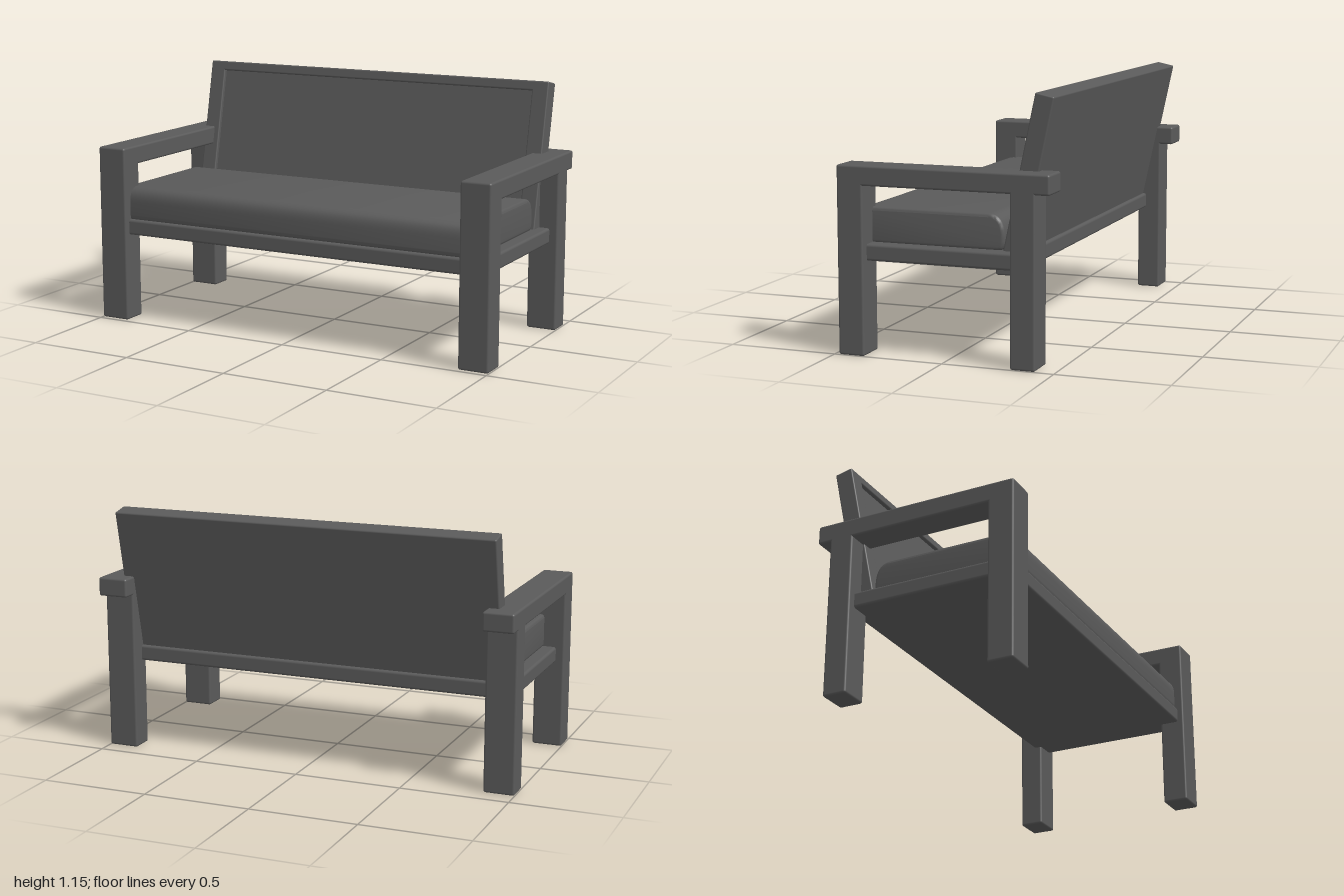
import * as THREE from 'three';
import { toCreasedNormals } from 'three/addons/utils/BufferGeometryUtils.js';
import { RoundedBoxGeometry } from 'three/addons/geometries/RoundedBoxGeometry.js';

export function createModel() {
  const model = new THREE.Group();
  model.name = 'bench';
  const grey = new THREE.MeshStandardMaterial({ color: 0x5a5a5a });
  grey.name = 'charcoal grey';

  // Softly rounded box given by its limits on each axis
  function box(parent, name, [x0, x1], [y0, y1], [z0, z1], radius = 0.01) {
    const geometry = new RoundedBoxGeometry(x1 - x0, y1 - y0, z1 - z0, 3, radius);
    const mesh = new THREE.Mesh(geometry, grey);
    mesh.position.set((x0 + x1) / 2, (y0 + y1) / 2, (z0 + z1) / 2);
    mesh.name = name;
    parent.add(mesh);
    return mesh;
  }

  // Legs and armrests on both sides
  for (const [side, s] of [['left', 1], ['right', -1]]) {
    const x = s > 0 ? [0.857, 1] : [-1, -0.857];
    box(model, side + 'FrontLeg', x, [0, 0.825], [0.36, 0.48]);
    box(model, side + 'BackLeg', x, [0, 0.76], [-0.417, -0.305]);
    box(model, side + 'Armrest', x, [0.738, 0.825], [-0.48, 0.48]);
  }

  // Seat platform
  box(model, 'seatFrame', [-0.96, 0.96], [0.41, 0.483], [-0.345, 0.45], 0.012);

  // Seat cushion: side profile (z, y) extruded across the width
  const profile = new THREE.Shape();
  profile.moveTo(-0.215, 0.478);
  profile.lineTo(0.42, 0.478);
  profile.quadraticCurveTo(0.437, 0.48, 0.437, 0.51);
  profile.lineTo(0.437, 0.565);
  profile.quadraticCurveTo(0.437, 0.635, 0.375, 0.635);
  profile.lineTo(-0.17, 0.635);
  profile.bezierCurveTo(-0.22, 0.635, -0.245, 0.6, -0.245, 0.53);
  profile.quadraticCurveTo(-0.245, 0.48, -0.215, 0.478);
  const width = 1.8;
  const cushionGeometry = new THREE.ExtrudeGeometry(profile, {
    depth: width - 0.03, curveSegments: 10,
    bevelEnabled: true, bevelThickness: 0.015, bevelSize: 0.015, bevelOffset: -0.015, bevelSegments: 3,
  });
  cushionGeometry.translate(0, 0, -(width - 0.03) / 2);
  cushionGeometry.rotateY(-Math.PI / 2);
  const cushion = new THREE.Mesh(toCreasedNormals(cushionGeometry, 0.6), grey);
  cushion.name = 'seatCushion';
  model.add(cushion);

  // Reclined backrest: raised rim around a shallow recessed panel
  const backrest = new THREE.Group();
  backrest.name = 'backrest';
  backrest.position.set(0, 0.47, -0.24);
  backrest.rotation.x = THREE.MathUtils.degToRad(-12);
  const height = 0.696, depth = [-0.085, 0];
  box(backrest, 'backPanel', [-0.9, 0.9], [0, height - 0.01], [-0.085, -0.018], 0.006);
  box(backrest, 'backTopRail', [-0.91, 0.91], [height - 0.045, height], depth, 0.007);
  for (const s of [-1, 1]) {
    const x = s > 0 ? [0.83, 0.91] : [-0.91, -0.83];
    box(backrest, s > 0 ? 'leftBackStile' : 'rightBackStile', x, [0, height], depth, 0.007);
  }
  model.add(backrest);

  return model;
}
